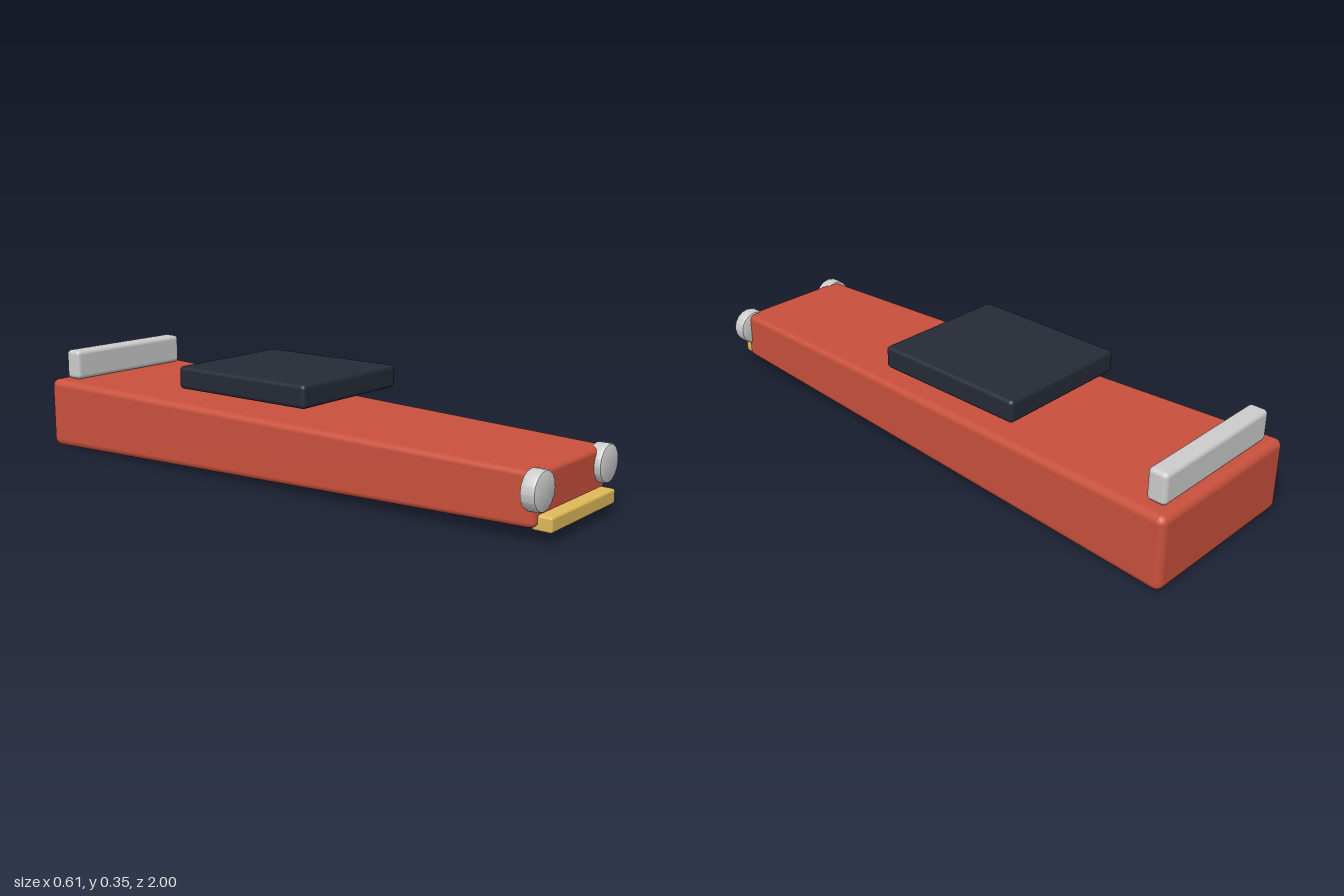
import * as THREE from 'three';
import { RoundedBoxGeometry } from 'three/addons/geometries/RoundedBoxGeometry.js';
import { toCreasedNormals } from 'three/addons/utils/BufferGeometryUtils.js';

const paint = (color) => new THREE.MeshStandardMaterial({ color });
const RED = paint(0xc8503c), DARK = paint(0x252a36), GOLD = paint(0xe0b858), GREY = paint(0xcccccc);

function addMesh(group, name, geometry, material, x = 0, y = 0, z = 0) {
  const mesh = new THREE.Mesh(geometry, material);
  mesh.name = name;
  mesh.position.set(x, y, z);
  group.add(mesh);
  return mesh;
}

// Rounded box narrowing towards +z; normals follow the same taper.
function taperedBox(w, h, d, radius, scaleX, scaleY) {
  const geo = new RoundedBoxGeometry(w, h, d, 3, radius);
  const pos = geo.attributes.position, nor = geo.attributes.normal;
  const n = new THREE.Vector3();
  const dx = (scaleX - 1) / d, dy = (scaleY - 1) / d;
  for (let i = 0; i < pos.count; i++) {
    const x = pos.getX(i), y = pos.getY(i), z = pos.getZ(i);
    const sx = 1 + dx * (z + d / 2), sy = 1 + dy * (z + d / 2);
    n.fromBufferAttribute(nor, i);
    const nx = n.x / sx, ny = n.y / sy;
    n.set(nx, ny, n.z - dx * x * nx - dy * y * ny).normalize();
    pos.setXYZ(i, x * sx, y * sy, z);
    nor.setXYZ(i, n.x, n.y, n.z);
  }
  return geo;
}

export function createModel() {
  const model = new THREE.Group();
  model.name = 'wedgeCar';

  // Long wedge body, wide and tall at the back
  addMesh(model, 'body', taperedBox(0.608, 0.248, 1.955, 0.026, 0.71, 0.66), RED, 0, 0.125, -0.0225);

  // Dark panel hovering over the middle
  addMesh(model, 'canopy', new RoundedBoxGeometry(0.486, 0.077, 0.55, 3, 0.014), DARK, 0, 0.3165, -0.12);

  // Bar standing on the tail
  addMesh(model, 'rearBar', new RoundedBoxGeometry(0.508, 0.104, 0.066, 3, 0.015), GREY, 0, 0.301, -0.932);

  // Front bumper
  addMesh(model, 'bumper', new RoundedBoxGeometry(0.39, 0.047, 0.066, 3, 0.008), GOLD, 0, 0.0585, 0.967);

  // Round lamps with softened rims
  const r = 0.062, t = 0.025, b = 0.009;
  const profile = [
    [0, -t], [r - b, -t], [r - b * 0.3, -t + b * 0.3], [r, -t + b],
    [r, t - b], [r - b * 0.3, t - b * 0.3], [r - b, t], [0, t],
  ].map(([x, y]) => new THREE.Vector2(x, y));
  const lamp = toCreasedNormals(new THREE.LatheGeometry(profile, 16).rotateX(Math.PI / 2), 0.5);
  for (const side of [-1, 1]) {
    addMesh(model, side > 0 ? 'leftLamp' : 'rightLamp', lamp, GREY, side * 0.196, 0.154, 0.952);
  }

  return model;
}
